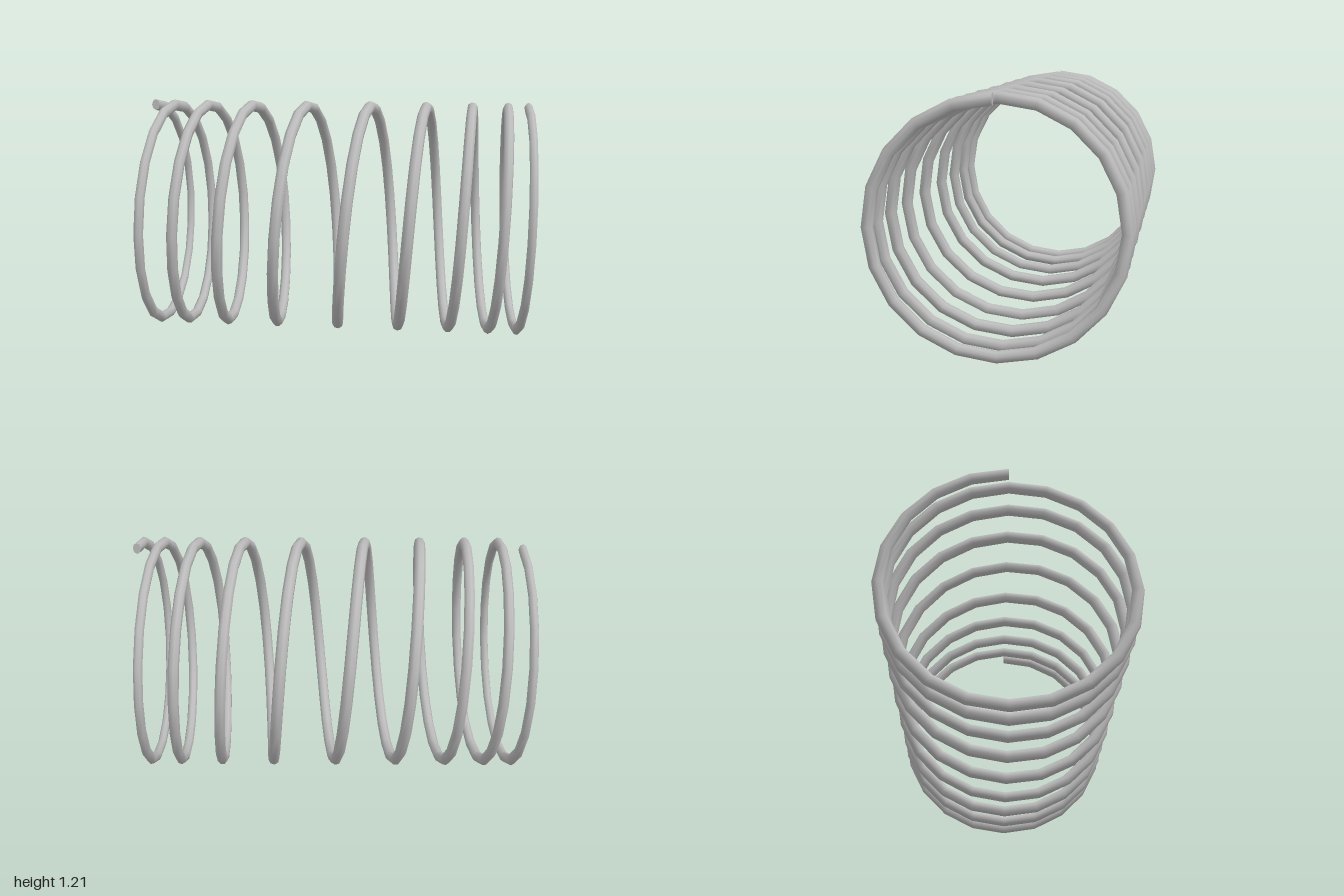
import * as THREE from 'three';

const TURNS = 9, STEPS = 20, SIDES = 8, COIL = 0.577, WIRE = 0.029, MID = 0.606;

// Horizontal helix from -x to +x, wide pitch in the middle, tight at both ends
class CoilCurve extends THREE.Curve {
  getPoint(t, target = new THREE.Vector3()) {
    const s = 2 * t - 1, d = Math.abs(s), a = t * TURNS * Math.PI * 2;
    const x = s * (1.56 - 0.555 * d - 0.026 * d ** 12);
    return target.set(x, MID + COIL * Math.cos(a), -COIL * Math.sin(a));
  }
  // Even steps in angle, so every turn has the same number of straight pieces
  getUtoTmapping(u) { return u; }
}

// The wire is squeezed along x towards both ends
const squeeze = (t) => 1 - 0.28 * (2 * t - 1) ** 2;

export function createModel() {
  const group = new THREE.Group();
  group.name = 'spring';
  const steel = new THREE.MeshStandardMaterial({ color: 0xbbbbbb });
  steel.name = 'steel grey';

  // Coiled wire
  const curve = new CoilCurve();
  const geometry = new THREE.TubeGeometry(curve, TURNS * STEPS, WIRE, SIDES, false);
  const pos = geometry.attributes.position;
  for (let i = 0; i < pos.count; i++) {
    const t = Math.floor(i / (SIDES + 1)) / (TURNS * STEPS);
    const x = curve.getPoint(t).x;
    pos.setX(i, x + (pos.getX(i) - x) * squeeze(t));
  }
  const wire = new THREE.Mesh(geometry, steel);
  wire.name = 'coilWire';
  group.add(wire);

  // Flat cut ends: the right one faces forward, the left one backward
  for (const [name, t, turn] of [['rightEndCap', 0, 0], ['leftEndCap', 1, Math.PI]]) {
    const cap = new THREE.Mesh(new THREE.CircleGeometry(WIRE, SIDES), steel);
    cap.name = name;
    cap.position.copy(curve.getPoint(t));
    cap.rotation.y = turn;
    cap.scale.x = squeeze(t);
    group.add(cap);
  }
  return group;
}
